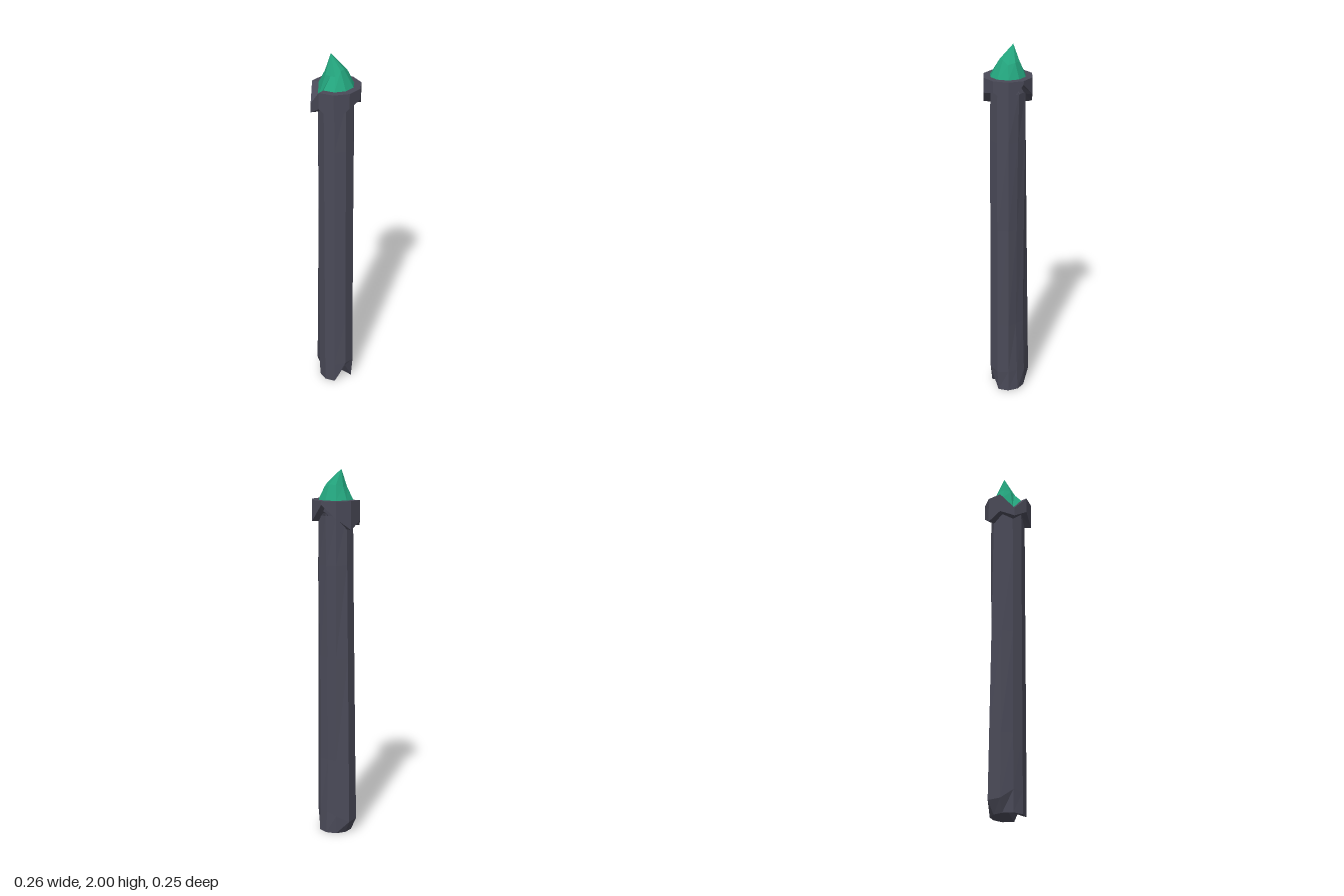
import * as THREE from 'three';

const SIDES = 10;

// Point k of a ten-sided ring; k = 0 lies on +x, k = 2 and 3 face the front.
const point = (k, radius, y) => {
  const a = (k / SIDES) * Math.PI * 2;
  return [Math.cos(a) * radius, y, Math.sin(a) * radius];
};
// Ring from radii and heights, each a single number or one per side.
const ring = (radii, heights) => Array.from({ length: SIDES }, (_, k) =>
  point(k, Array.isArray(radii) ? radii[k] : radii, Array.isArray(heights) ? heights[k] : heights));
const tip = (x, y, z) => Array.from({ length: SIDES }, () => [x, y, z]);

// Skin a stack of rings, listed from bottom to top along the outside.
function skin(name, rings, color) {
  const index = [];
  for (let r = 0; r < rings.length - 1; r++) {
    for (let k = 0; k < SIDES; k++) {
      const a = r * SIDES + k, b = r * SIDES + (k + 1) % SIDES;
      index.push(a, a + SIDES, b, b, a + SIDES, b + SIDES);
    }
  }
  const geometry = new THREE.BufferGeometry();
  geometry.setAttribute('position', new THREE.Float32BufferAttribute(rings.flat(2), 3));
  geometry.setIndex(index);
  geometry.computeVertexNormals();
  const mesh = new THREE.Mesh(geometry,
    new THREE.MeshStandardMaterial({ color, flatShading: true, side: THREE.DoubleSide }));
  mesh.name = name;
  return mesh;
}

export function createModel() {
  const group = new THREE.Group();
  group.name = 'torch';
  const dark = 0x4a4a58, green = 0x23a37c;

  // Worn shaft: hollowed on its +x side, with a chip at the front of the foot
  const foot = [0, 0, 0, 0.11, 0, 0, 0, 0, 0, 0];
  const bulge = [0.12, 0.12, 0.12, 0.13, 0.12, 0.12, 0.12, 0.07, 0.07, 0.1];
  group.add(skin('shaft', [
    tip(0, 0.03, 0),
    ring([0.092, 0.094, 0.094, 0.1, 0.094, 0.095, 0.094, 0.088, 0.088, 0.092], foot),
    ring([0.085, 0.092, 0.104, 0.104, 0.095, 0.095, 0.097, 0.118, 0.124, 0.096], bulge),
    ring([0.075, 0.09, 0.102, 0.102, 0.095, 0.095, 0.095, 0.112, 0.118, 0.088], 0.42),
    ring([0.079, 0.09, 0.1, 0.1, 0.095, 0.095, 0.095, 0.104, 0.108, 0.09], 1.0),
    ring([0.088, 0.095, 0.1, 0.1, 0.095, 0.095, 0.095, 0.097, 0.1, 0.095], 1.5),
    ring(0.095, 1.76),
  ], dark));

  // Collar with a jagged lower edge and a broken rim at the back
  const lower = [1.82, 1.73, 1.78, 1.76, 1.69, 1.75, 1.7, 1.73, 1.69, 1.75];
  const rim = ring(0.132, 1.84), inner = ring(0.095, 1.84);
  rim[6] = point(6, 0.132, 1.75);
  inner[6] = point(6, 0.095, 1.77);
  group.add(skin('collar', [
    ring(0.09, lower), ring(0.132, lower), rim, inner, tip(0, 1.84, 0),
  ], dark));

  // Faceted crystal leaning towards the back
  const base = ring(0.095, 1.84);
  base[6] = point(6, 0.096, 1.77);
  group.add(skin('crystal', [
    base,
    ring([0.062, 0.062, 0.045, 0.045, 0.046, 0.042, 0.055, 0.06, 0.063, 0.062],
      [1.92, 1.91, 1.93, 1.93, 1.9, 1.9, 1.9, 1.91, 1.91, 1.92]),
    tip(0, 2, -0.035),
  ], green));

  return group;
}
